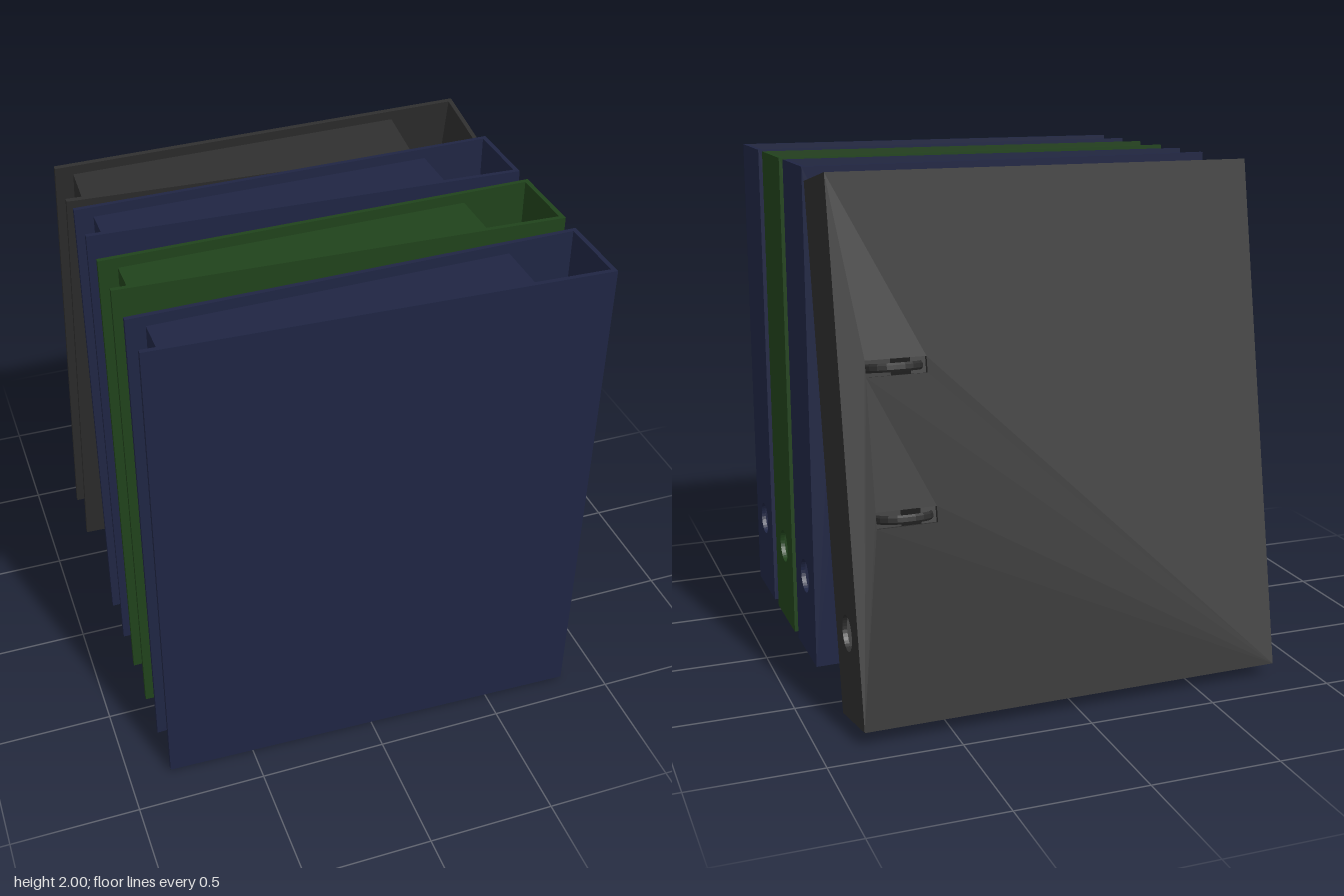
import * as THREE from 'three';

const H = 1.98, X = 0.838, T = 0.018;        // binder height, half length, board thickness
const Z_OPEN = 0.11, Z_SPINE = 0.158;        // half widths at the open end and at the spine
const RINGS = [0.297, -0.243];               // ring heights from the binder centre
const halfWidth = (x) => Z_OPEN + (Z_SPINE - Z_OPEN) * (x + X) / (2 * X);

function rect(x0, x1, y0, y1, Kind = THREE.Shape) {
  return new Kind([[x0, y0], [x1, y0], [x1, y1], [x0, y1]].map((p) => new THREE.Vector2(...p)));
}

// Move every vertex along z by a rule
function bendZ(geo, rule) {
  const p = geo.attributes.position;
  for (let i = 0; i < p.count; i++) p.setZ(i, rule(p.getX(i), p.getZ(i)));
  geo.computeVertexNormals();
  return geo;
}

// Cover board, side = 1 front, -1 back; the back one has ring slots
function coverGeometry(side) {
  const shape = rect(-X, X, -H / 2, H / 2);
  if (side < 0) {
    for (const y of RINGS) shape.holes.push(rect(0.51, 0.74, y - 0.03, y + 0.03, THREE.Path));
  }
  const geo = new THREE.ExtrudeGeometry(shape, { depth: T, bevelEnabled: false });
  return bendZ(geo, (x, z) => (side > 0 ? halfWidth(x) - T + z : -halfWidth(x) + z));
}

// Spine board with the round finger hole
function spineGeometry() {
  const w = Z_SPINE - T;
  const shape = rect(-w, w, -H / 2, H / 2);
  const hole = new THREE.Path();
  hole.absarc(0, -0.66, 0.068, 0, Math.PI * 2, true);
  shape.holes.push(hole);
  const geo = new THREE.ExtrudeGeometry(shape, { depth: T, bevelEnabled: false, curveSegments: 16 });
  return geo.rotateY(Math.PI / 2).translate(X - T, 0, 0);
}

// Tapered paper block between the covers
function paperGeometry() {
  const geo = new THREE.BoxGeometry(1.335, H - 0.08, 1).translate(-0.1, 0, 0);
  return bendZ(geo, (x, z) => Math.sign(z) * (halfWidth(x) - T));
}

// Arch ring: loops out of the back cover, then a post runs to the front cover
function ringGeometry() {
  const points = [[0.53, -0.14], [0.555, -0.173], [0.625, -0.193], [0.69, -0.18],
    [0.72, -0.145], [0.735, -0.05], [0.74, 0.14]];
  const path = new THREE.CatmullRomCurve3(points.map(([x, z]) => new THREE.Vector3(x, 0, z)));
  return new THREE.TubeGeometry(path, 16, 0.008, 6).scale(1, 2, 1);
}

function binder(name, color) {
  const material = new THREE.MeshStandardMaterial({ color, flatShading: true });
  const group = new THREE.Group();
  group.name = name;
  const add = (part, geo, y = 0) => {
    const mesh = new THREE.Mesh(geo, material);
    mesh.name = part;
    mesh.position.y = y;
    group.add(mesh);
  };
  add('frontCover', coverGeometry(1));
  add('backCover', coverGeometry(-1));
  add('spine', spineGeometry());
  add('paperBlock', paperGeometry());
  RINGS.forEach((y, i) => add(i ? 'lowerRing' : 'upperRing', ringGeometry(), y));
  return group;
}

export function createModel() {
  const model = new THREE.Group();
  model.name = 'binderRow';
  // name, colour, z, lean
  const row = [
    ['frontBlueBinder', 0x1f2543, 0.75, 0],
    ['greenBinder', 0x20421b, 0.357, 0],
    ['rearBlueBinder', 0x1f2543, -0.027, 0],
    ['leaningBlackBinder', 0x2d2d2d, -0.563, 0.193],
  ];
  for (const [name, color, z, lean] of row) {
    const b = binder(name, color);
    b.position.set(0, 1.0, z);
    b.rotation.x = lean;
    model.add(b);
  }
  return model;
}
